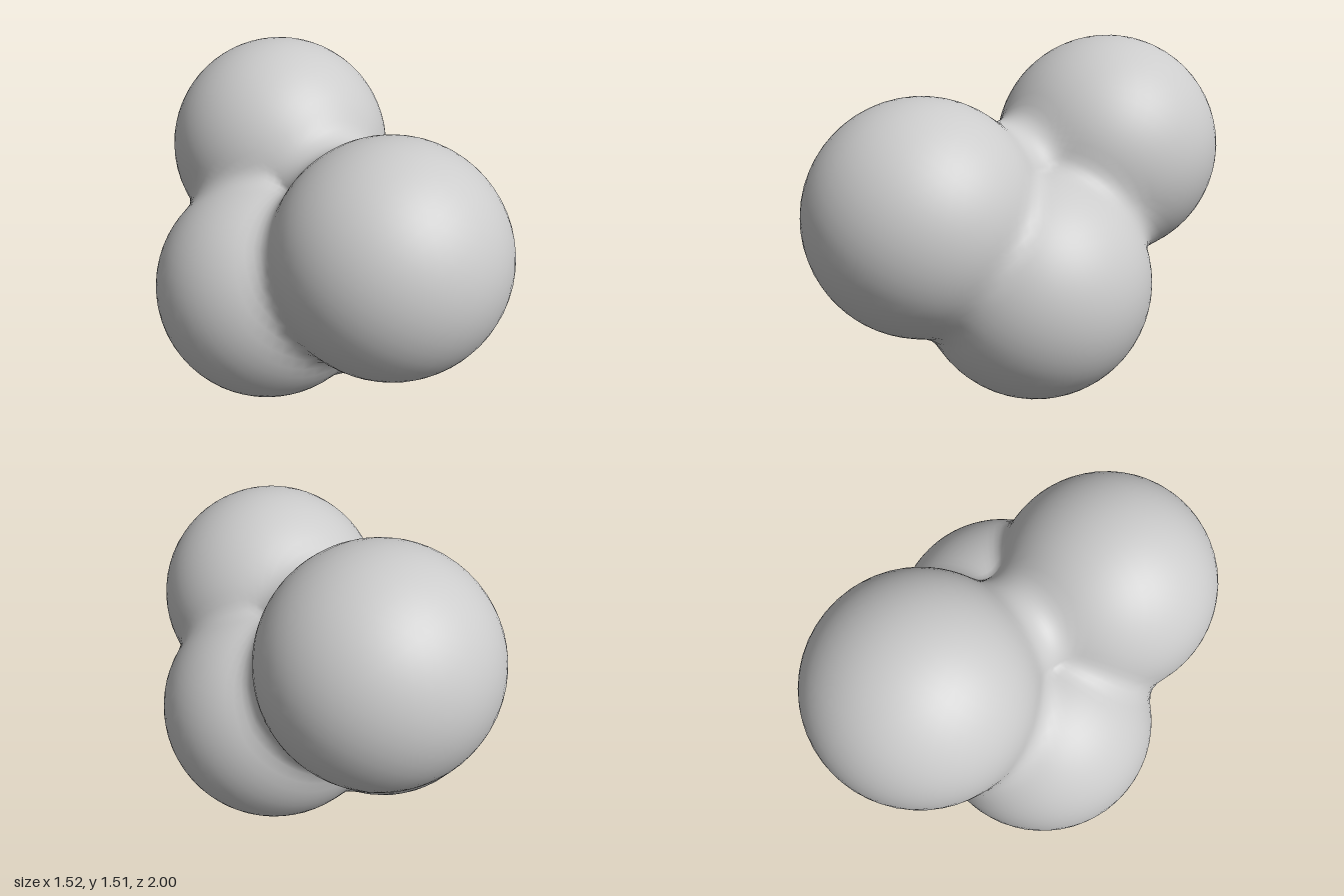
import * as THREE from 'three';
import { mergeVertices } from 'three/addons/utils/BufferGeometryUtils.js';

const R = 0.512;
// Lobe centres: front, back, lower right, lower left
const LOBES = [
  new THREE.Vector3(0, 0.832, 0.488),
  new THREE.Vector3(0.085, 1.003, -0.488),
  new THREE.Vector3(-0.248, 0.512, -0.09),
  new THREE.Vector3(0.248, 0.512, 0.075),
];
// A point that lies inside every lobe, so each ray from it leaves the body once
const CORE = new THREE.Vector3(0.035, 0.89, 0);

// Distance to the blended lobes; sharper valleys are filled more
function bodyDistance(p) {
  const away = LOBES.map((c) => p.clone().sub(c));
  const dist = away.map((v) => v.length() - R);
  let best = Math.min(...dist);
  for (let i = 0; i < LOBES.length; i++) {
    for (let j = i + 1; j < LOBES.length; j++) {
      const facing = (1 - Math.cos(away[i].angleTo(away[j]))) / 2;
      const k = 0.36 * facing * facing + 0.02;
      const h = Math.max(k - Math.abs(dist[i] - dist[j]), 0) / k;
      best = Math.min(best, Math.min(dist[i], dist[j]) - (h * h * k) / 4);
    }
  }
  return best;
}

// Move a point along its ray from the core onto the surface
function toSurface(dir) {
  let near = 0, far = 1.3;
  const p = new THREE.Vector3();
  for (let i = 0; i < 22; i++) {
    const mid = (near + far) / 2;
    p.copy(CORE).addScaledVector(dir, mid);
    if (bodyDistance(p) < 0) near = mid;
    else far = mid;
  }
  return p;
}

export function createModel() {
  const group = new THREE.Group();
  group.name = 'fourLobedBlob';

  // One icosphere pushed out to the four merged lobes
  let geometry = new THREE.IcosahedronGeometry(1, 17);
  geometry.deleteAttribute('uv');
  geometry.deleteAttribute('normal');
  geometry = mergeVertices(geometry, 1e-4);
  const pos = geometry.attributes.position;
  const dir = new THREE.Vector3();
  for (let i = 0; i < pos.count; i++) {
    const p = toSurface(dir.fromBufferAttribute(pos, i).normalize());
    pos.setXYZ(i, p.x, p.y, p.z);
  }
  geometry.computeVertexNormals();

  const body = new THREE.Mesh(geometry, new THREE.MeshStandardMaterial({ color: 0xcccccc }));
  body.name = 'mergedLobes';
  group.add(body);
  return group;
}
